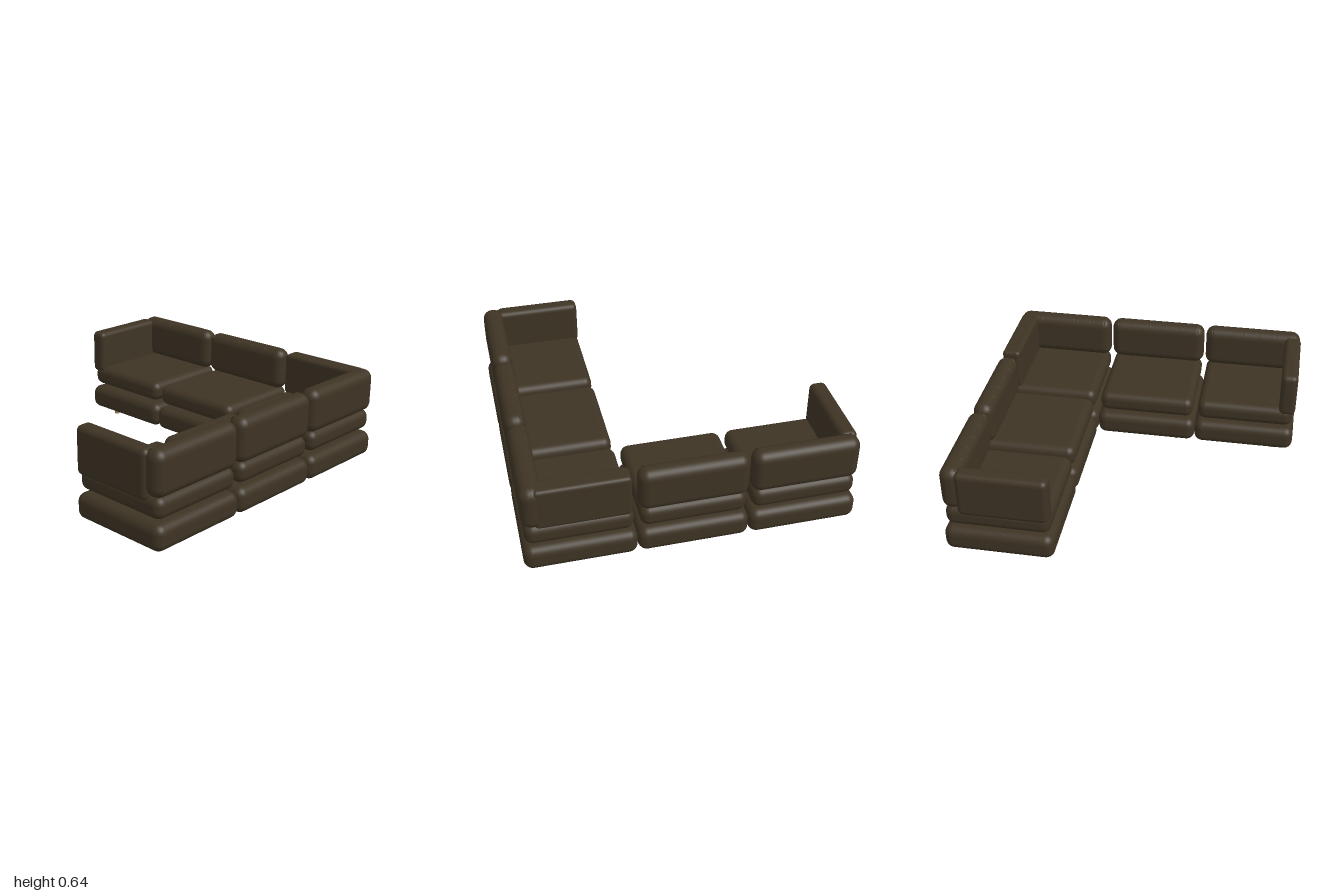
import * as THREE from 'three';
import { RoundedBoxGeometry } from 'three/addons/geometries/RoundedBoxGeometry.js';

const fabric = new THREE.MeshStandardMaterial({ color: 0x3e3424 });
fabric.name = 'dark olive fabric';
const brass = new THREE.MeshStandardMaterial({ color: 0xa08a58 });
brass.name = 'brass';

// Rounded pad given by its min and max on each axis
function pad(name, [x0, x1], [y0, y1], [z0, z1], radius) {
  const geo = new RoundedBoxGeometry(x1 - x0, y1 - y0, z1 - z0, 5, radius);
  const mesh = new THREE.Mesh(geo, fabric);
  mesh.name = name;
  mesh.position.set((x0 + x1) / 2, (y0 + y1) / 2, (z0 + z1) / 2);
  return mesh;
}

// Row of small stitched tucks along the inner top edge of a back cushion
function tucks() {
  const row = new THREE.Group();
  row.name = 'backTucks';
  const geo = new THREE.SphereGeometry(1, 10, 6);
  for (let i = 0; i < 6; i++) {
    const tuck = new THREE.Mesh(geo, fabric);
    tuck.name = 'tuck';
    tuck.scale.set(0.006, 0.004, 0.018);
    tuck.position.set(-0.285 + i * 0.114, 0.625, 0.218);
    tuck.rotation.x = -0.73;
    row.add(tuck);
  }
  return row;
}

// One seat module with its back towards +z; legs stand on one diagonal
function seatModule(legSide) {
  const g = new THREE.Group();
  g.add(pad('base', [-0.333, 0.333], [0.06, 0.22], [-0.333, 0.333], 0.055));
  g.add(pad('seatCushion', [-0.316, 0.316], [0.24, 0.372], [-0.316, 0.316], 0.052));
  g.add(pad('backCushion', [-0.326, 0.326], [0.365, 0.642], [0.196, 0.325], 0.06));
  g.add(tucks());
  const legGeo = new THREE.CylinderGeometry(0.016, 0.016, 0.07, 20);
  for (const s of [-1, 1]) {
    const leg = new THREE.Mesh(legGeo, brass);
    leg.name = 'leg';
    leg.position.set(s * legSide * 0.202, 0.035, s * 0.202);
    g.add(leg);
  }
  return g;
}

// Low arm on one side of an end module
function arm(side) {
  const xs = side < 0 ? [-0.333, -0.225] : [0.225, 0.333];
  return pad('armrest', xs, [0.335, 0.632], [-0.318, 0.23], 0.035);
}

export function createModel() {
  const sofa = new THREE.Group();
  sofa.name = 'cornerSofa';
  const P = 0.667;
  const layout = [
    { name: 'leftEndModule', x: -P, z: P, turn: 0, extra: () => arm(-1) },
    { name: 'frontMiddleModule', x: 0, z: P, turn: 0 },
    { name: 'cornerModule', x: P, z: P, turn: 0,
      extra: () => pad('cornerSidePanel', [0.2, 0.32], [0.362, 0.635], [-0.303, 0.25], 0.025) },
    { name: 'sideMiddleModule', x: P, z: 0, turn: 1 },
    { name: 'farEndModule', x: P, z: -P, turn: 1, extra: () => arm(1) },
  ];
  for (const m of layout) {
    const g = seatModule(m.turn ? -1 : 1);
    g.name = m.name;
    if (m.extra) g.add(m.extra());
    g.position.set(m.x, 0, m.z);
    g.rotation.y = m.turn * Math.PI / 2;
    sofa.add(g);
  }
  return sofa;
}
